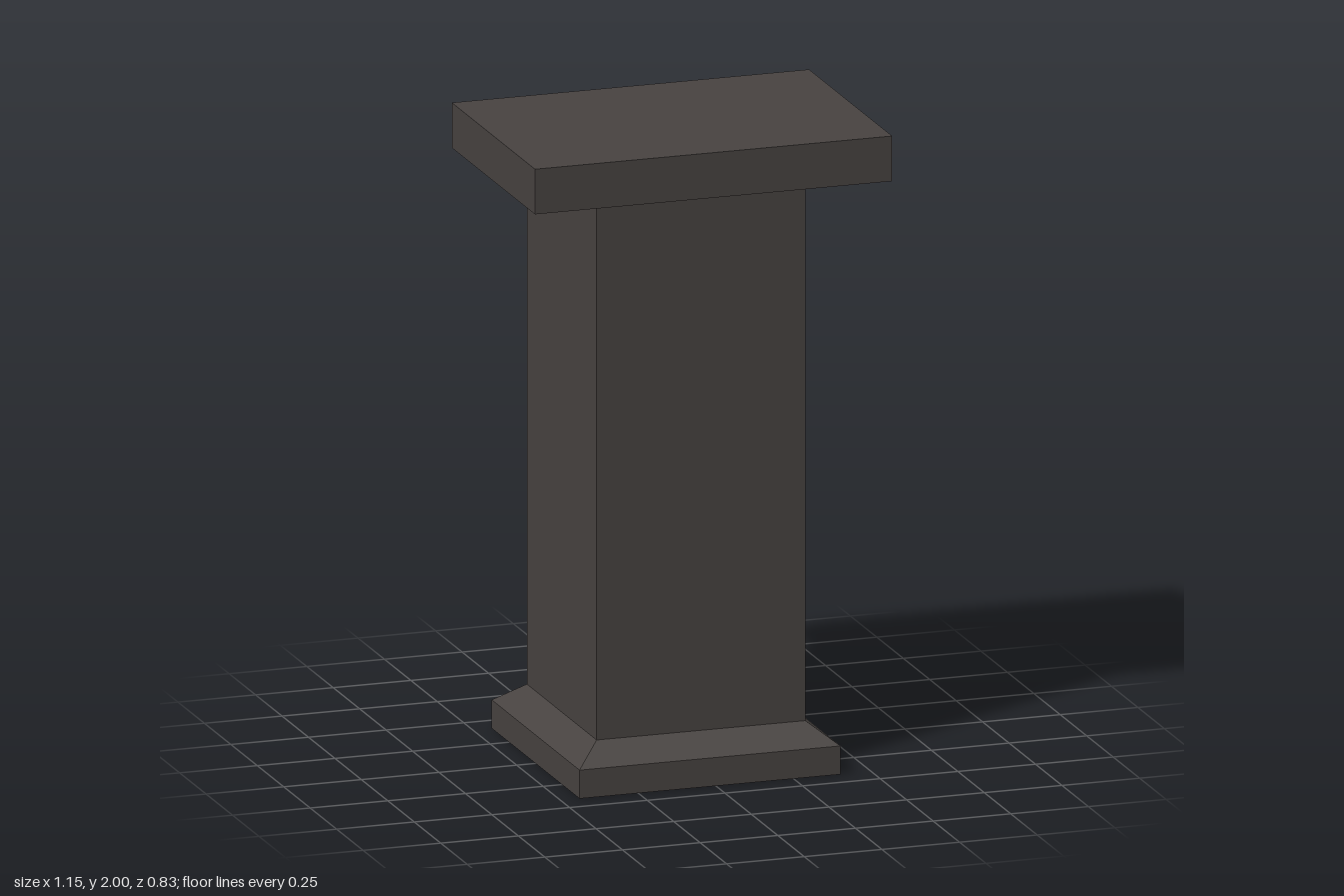
import * as THREE from 'three';

const stone = new THREE.MeshStandardMaterial({ color: 0x484341, side: THREE.DoubleSide });
stone.name = 'dark stone';

// Open rectangular shell through rings of [y, halfX, halfZ], flat-sided, optionally closed on top
function shell(name, rings, closeTop = false) {
  const corners = ([y, hx, hz]) => [[-hx, y, hz], [hx, y, hz], [hx, y, -hz], [-hx, y, -hz]];
  const pos = [];
  const quad = (a, b, c, d) => pos.push(...a, ...b, ...c, ...a, ...c, ...d);
  for (let i = 0; i < rings.length - 1; i++) {
    const lo = corners(rings[i]), hi = corners(rings[i + 1]);
    for (let k = 0; k < 4; k++) {
      const n = (k + 1) % 4;
      quad(lo[k], lo[n], hi[n], hi[k]);
    }
  }
  if (closeTop) quad(...corners(rings[rings.length - 1]));
  const geo = new THREE.BufferGeometry();
  geo.setAttribute('position', new THREE.Float32BufferAttribute(pos, 3));
  geo.computeVertexNormals();
  const mesh = new THREE.Mesh(geo, stone);
  mesh.name = name;
  return mesh;
}

export function createModel() {
  const model = new THREE.Group();
  model.name = 'pedestal';

  // Hollow foot with a sloped shoulder, and the hollow shaft rising from it
  const column = new THREE.Group();
  column.name = 'column';
  column.add(
    shell('base', [[0, 0.42, 0.415], [0.09, 0.42, 0.415], [0.155, 0.336, 0.33]]),
    shell('shaft', [[0.155, 0.336, 0.33], [1.955, 0.336, 0.33]])
  );
  column.position.x = -0.019; // the column stands slightly off the cap's centre

  // Wide cap, open underneath
  const cap = shell('cap', [[1.857, 0.575, 0.393], [2, 0.575, 0.393]], true);

  model.add(column, cap);
  return model;
}
